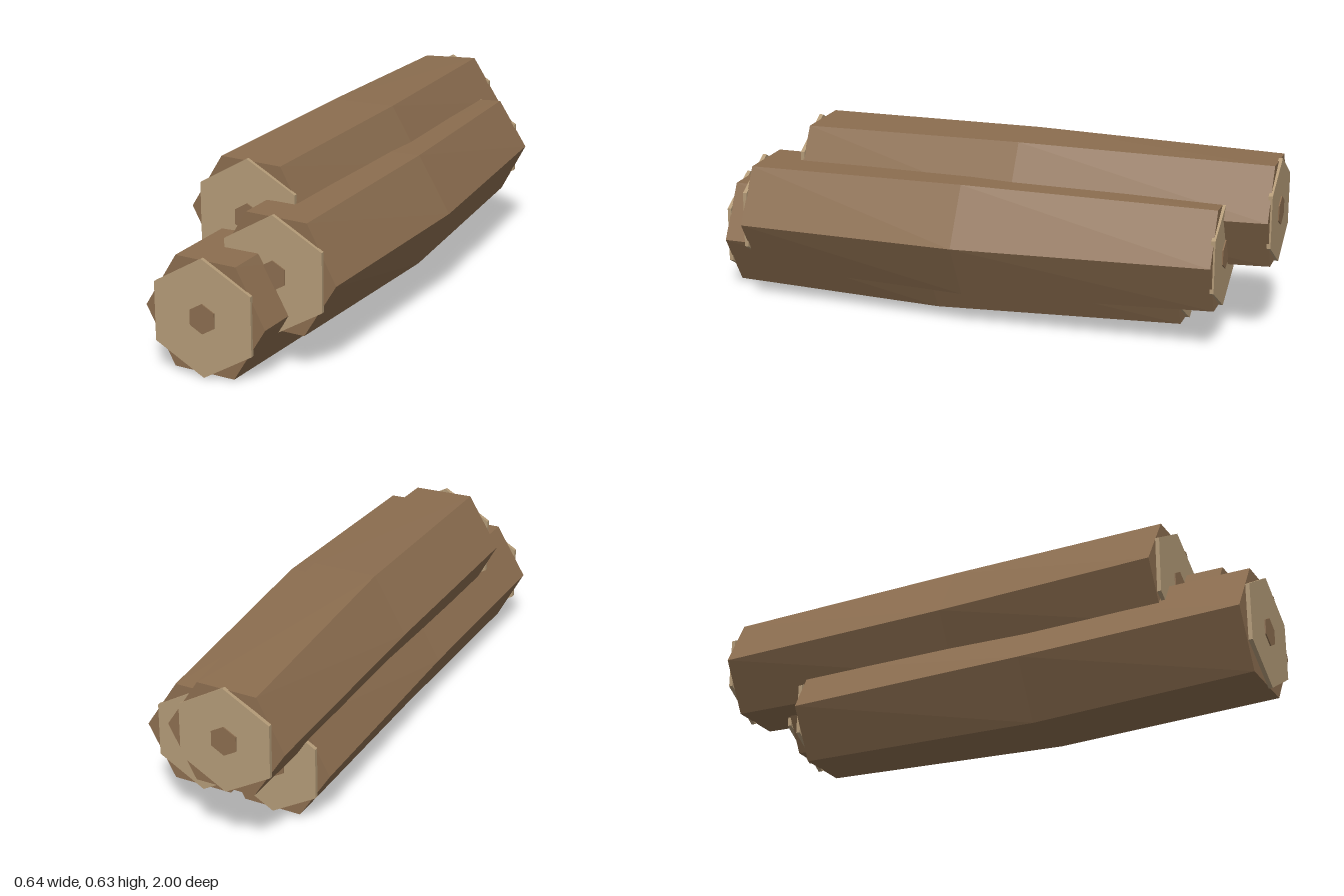
import * as THREE from 'three';

const bark = new THREE.MeshStandardMaterial({ color: 0x8b6d4f });
bark.name = 'bark';
const cutWood = new THREE.MeshStandardMaterial({ color: 0xb39a77 });
cutWood.name = 'cutWood';

// Hexagonal prism along z, faceted
function hexPrism(radius, depth, segments, thetaStart) {
  return new THREE.CylinderGeometry(radius, radius, depth, 6, segments, false, thetaStart)
    .rotateX(Math.PI / 2);
}

function faceted(geometry) {
  const g = geometry.toNonIndexed();
  g.computeVertexNormals();
  return g;
}

// Rings of the trunk: back, middle, front (dx and tilt make it slightly uneven)
const half = 0.85;
const rings = {
  '-1': { r: 0.2, twist: 0.04, dx: 0, z: -half + 0.015, tilt: -0.03 },
  '0': { r: 0.226, twist: 0, dx: 0.028, z: 0.04, tilt: 0 },
  '1': { r: 0.215, twist: -0.035, dx: 0, z: half - 0.02, tilt: 0.03 },
};

function trunkGeometry() {
  const g = hexPrism(1, 2, 2, Math.PI / 2);
  const p = g.attributes.position;
  for (let i = 0; i < p.count; i++) {
    const k = rings[Math.round(p.getZ(i)) || 0];
    const x = p.getX(i), y = p.getY(i);
    const c = Math.cos(k.twist), s = Math.sin(k.twist);
    const px = k.r * (x * c - y * s);
    p.setXYZ(i, px + k.dx, k.r * (x * s + y * c), k.z + k.tilt * px);
  }
  return faceted(g);
}

function part(name, geometry, material, z = 0) {
  const mesh = new THREE.Mesh(geometry, material);
  mesh.name = name;
  mesh.position.z = z;
  return mesh;
}

function makeLog(name, x, y, z) {
  const log = new THREE.Group();
  log.name = name;
  log.add(part('trunk', trunkGeometry(), bark));
  // Sawn end discs with a dark heart at both ends
  for (const [end, side, r] of [['front', 1, 0.197], ['back', -1, 0.181]]) {
    log.add(part(end + 'CutFace', faceted(hexPrism(r, 0.014, 1, 0)), cutWood, side * (half - 0.011)));
    log.add(part(end + 'Heart', faceted(hexPrism(0.05, 0.008, 1, 0)), bark, side * (half - 0.004)));
  }
  log.position.set(x, y, z);
  return log;
}

export function createModel() {
  const model = new THREE.Group();
  model.name = 'logPile';
  model.add(
    makeLog('lowerLog', -0.105, 0.2, 0.15),
    makeLog('sideLog', 0.064, 0.32, 0),
    makeLog('upperLog', -0.105, 0.44, -0.15),
  );
  return model;
}
